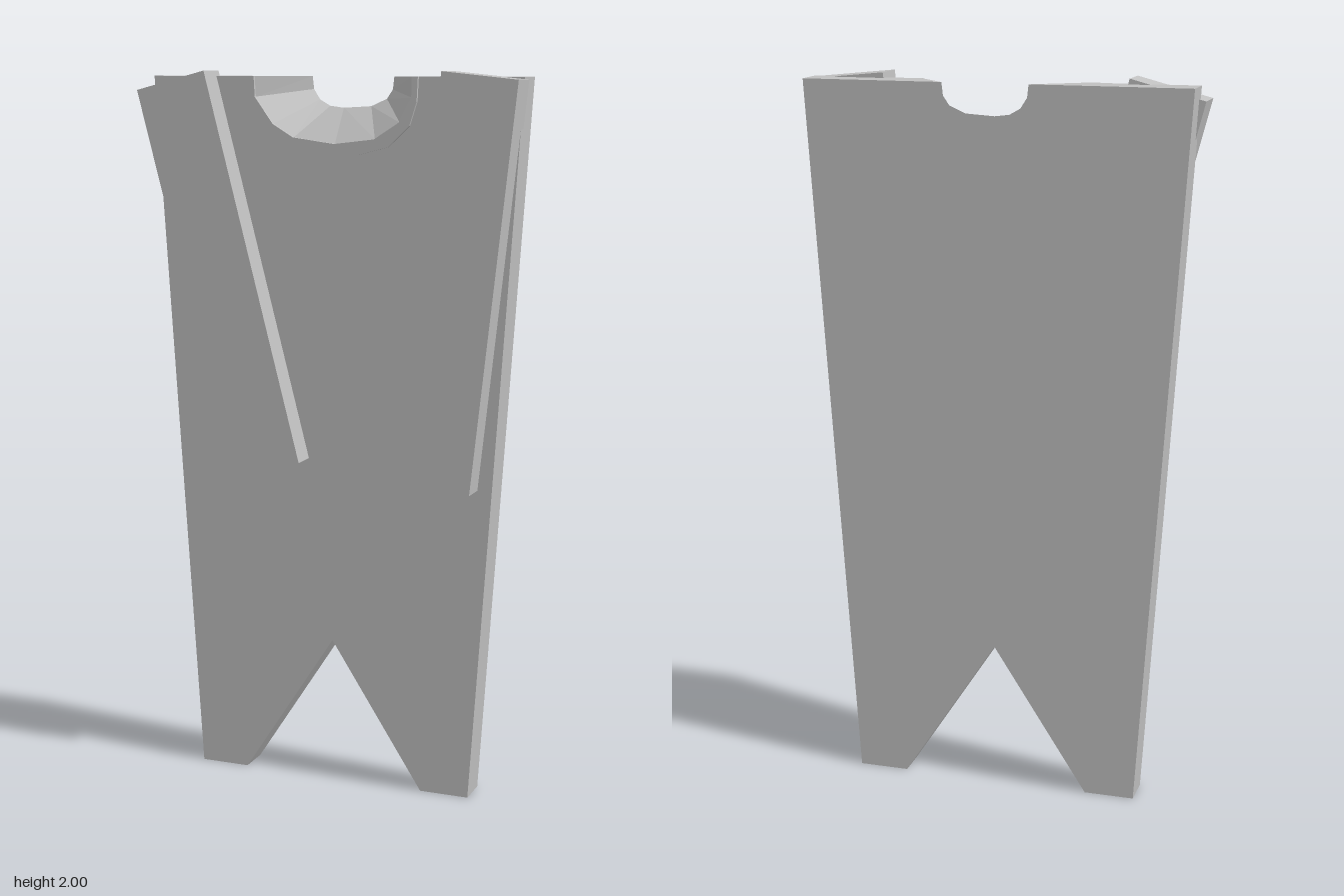
import * as THREE from 'three';

const FRONT = 0.009, BACK = -0.083, TOP = 1.985;

// Neck cut-out, listed from the model's left (+x) to its right
const neckFront = [[0.23, TOP], [0.23, 1.93], [0.195, 1.865], [0.125, 1.82], [0.01, 1.806], [-0.11, 1.822], [-0.17, 1.858], [-0.222, 1.93], [-0.225, TOP]];
const neckBack = [[0.146, TOP], [0.142, 1.95], [0.125, 1.925], [0.08, 1.905], [0, 1.9], [-0.04, 1.905], [-0.07, 1.922], [-0.088, 1.95], [-0.092, TOP]];
const neckRim = [[0.248, TOP], [0.245, 1.92], [0.225, 1.857], [0.165, 1.8], [0.08, 1.778], [-0.035, 1.774], [-0.14, 1.795], [-0.2, 1.825], [-0.245, 1.91], [-0.26, TOP]];

// Tapered outline with a forked hem, counter-clockwise
const hem = [[-0.53, TOP], [-0.405, 0], [-0.265, 0], [0.003, 0.413], [0.27, 0], [0.41, 0], [0.538, TOP]];

const toVectors = (points) => points.map(([x, y]) => new THREE.Vector2(x, y));

// Joins two outlines of equal length into a closed solid
function loftGeometry(front, back) {
  const pos = [];
  const put = (p, z) => pos.push(p.x, p.y, z);
  for (const [a, b, c] of THREE.ShapeUtils.triangulateShape(front, [])) {
    put(front[a], FRONT); put(front[b], FRONT); put(front[c], FRONT);
  }
  for (const [a, b, c] of THREE.ShapeUtils.triangulateShape(back, [])) {
    put(back[c], BACK); put(back[b], BACK); put(back[a], BACK);
  }
  front.forEach((p, i) => {
    const j = (i + 1) % front.length;
    put(p, FRONT); put(back[i], BACK); put(back[j], BACK);
    put(p, FRONT); put(back[j], BACK); put(front[j], FRONT);
  });
  const geometry = new THREE.BufferGeometry();
  geometry.setAttribute('position', new THREE.Float32BufferAttribute(pos, 3));
  geometry.computeVertexNormals();
  return geometry;
}

// Straight-sided plate between two depths
function plateGeometry(points, z0, z1) {
  const geometry = new THREE.ExtrudeGeometry(new THREE.Shape(toVectors(points)), { depth: z1 - z0, bevelEnabled: false });
  return geometry.translate(0, 0, z0);
}

export function createModel() {
  const model = new THREE.Group();
  const grey = new THREE.MeshStandardMaterial({ color: 0xc0c0c0 });
  grey.name = 'light grey';

  const add = (name, geometry) => {
    const mesh = new THREE.Mesh(geometry, grey);
    mesh.name = name;
    model.add(mesh);
  };

  // Body panel with a flared neck opening
  add('bodyPanel', loftGeometry(
    toVectors([...hem, ...neckFront]),
    toVectors([...hem, ...neckBack])
  ));

  // Thin raised rim around the neck
  add('neckRim', plateGeometry([...neckFront, ...[...neckRim].reverse()], FRONT, 0.017));

  // Two slanted front straps
  add('rightStrap', plateGeometry([[-0.547, 1.947], [-0.27, 0.883], [-0.068, 0.935], [-0.344, 2]], -0.013, 0.083));
  add('leftStrap', plateGeometry([[0.335, 2], [0.215, 0.906], [0.426, 0.883], [0.543, 1.979]], -0.013, 0.083));

  return model;
}
